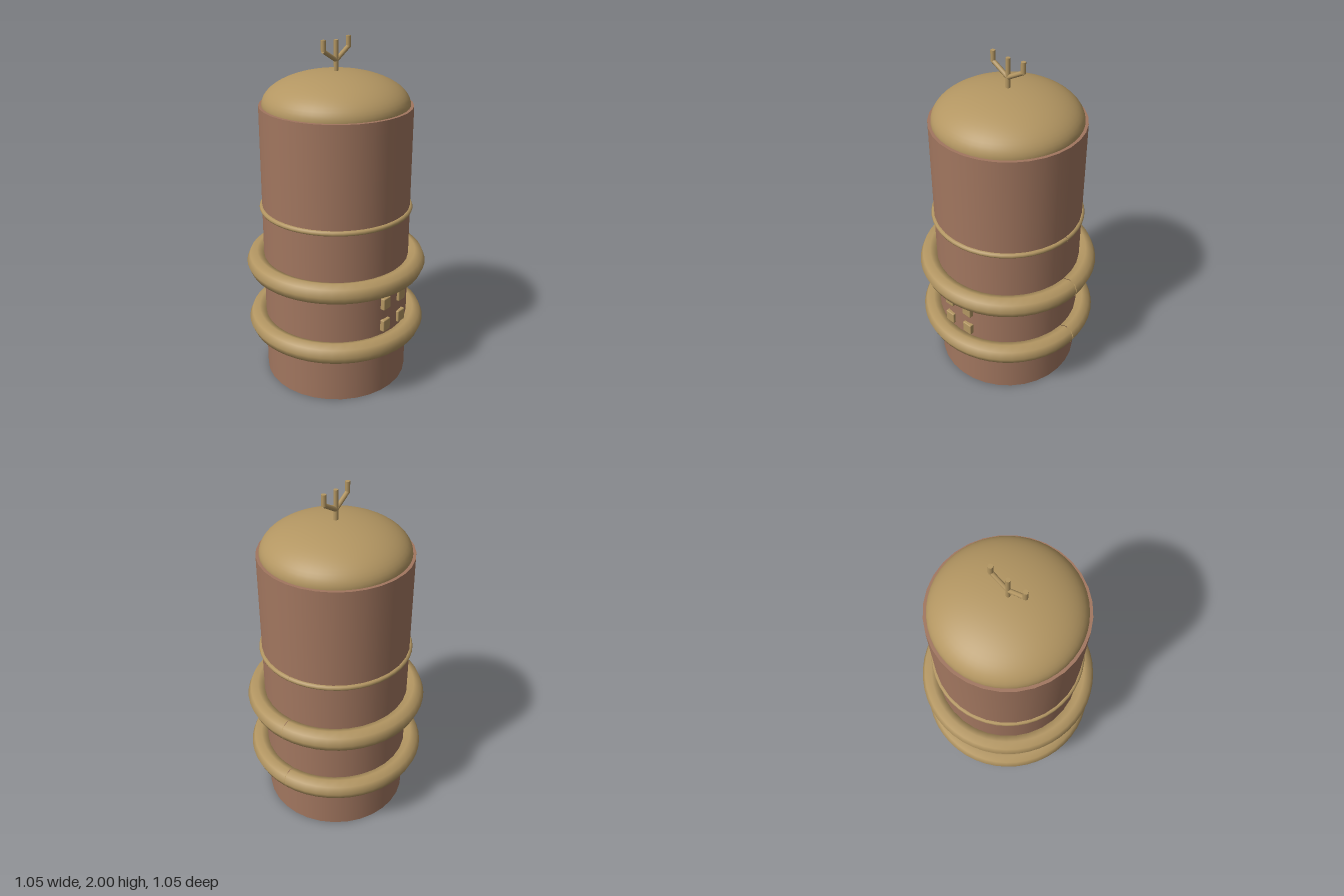
import * as THREE from 'three';
import { RoundedBoxGeometry } from 'three/addons/geometries/RoundedBoxGeometry.js';

const clay = new THREE.MeshStandardMaterial({ color: 0xa1765f });
clay.name = 'clay';
const brass = new THREE.MeshStandardMaterial({ color: 0xb39662, side: THREE.DoubleSide });
brass.name = 'brass';

export function createModel() {
  const model = new THREE.Group();
  model.name = 'tower';

  const add = (name, geometry, material, x = 0, y = 0, z = 0) => {
    const mesh = new THREE.Mesh(geometry, material);
    mesh.name = name;
    mesh.position.set(x, y, z);
    model.add(mesh);
    return mesh;
  };

  // Round rod between two points in the x-y plane
  const rod = (name, x0, y0, x1, y1, r = 0.0125) => {
    const a = new THREE.Vector3(x0, y0, 0);
    const d = new THREE.Vector3(x1, y1, 0).sub(a);
    const mesh = add(name, new THREE.CylinderGeometry(r, r, d.length(), 8), brass);
    mesh.position.copy(a).addScaledVector(d, 0.5);
    mesh.quaternion.setFromUnitVectors(new THREE.Vector3(0, 1, 0), d.normalize());
  };

  // Main drum and flattened domed roof
  add('body', new THREE.CylinderGeometry(0.425, 0.425, 1.645, 32), clay, 0, 0.8225);
  const dome = new THREE.SphereGeometry(0.408, 48, 16, 0, Math.PI * 2, 0, Math.PI / 2);
  dome.scale(1, 0.18 / 0.408, 1);
  add('domeRoof', dome, brass, 0, 1.646);

  // Two thick rings, each with a hairline split on the left, and a thin band
  const rings = [
    ['lowerRing', 0.465, 0.06, 0.345, 6.275],
    ['upperRing', 0.465, 0.06, 0.722, 6.275],
    ['thinBand', 0.425, 0.015, 1.056, 6.28],
  ];
  for (const [name, radius, tube, y, arc] of rings) {
    const ring = add(name, new THREE.TorusGeometry(radius, tube, 8, 48, arc), brass, 0, y);
    ring.rotation.x = Math.PI / 2;
  }

  // Four small windows on the front
  for (const x of [-0.07, 0.07]) {
    for (const y of [0.448, 0.586]) {
      add('window', new RoundedBoxGeometry(0.062, 0.072, 0.03, 2, 0.006), brass, x, y, 0.422);
    }
  }

  // Three-pronged mast
  rod('mast', 0, 1.81, 0, 1.99);
  for (const s of [-1, 1]) {
    rod('mastBranch', 0, 1.882, s * 0.105, 1.943);
    rod('mastProng', s * 0.103, 1.938, s * 0.103, 2, 0.0135);
  }

  return model;
}
